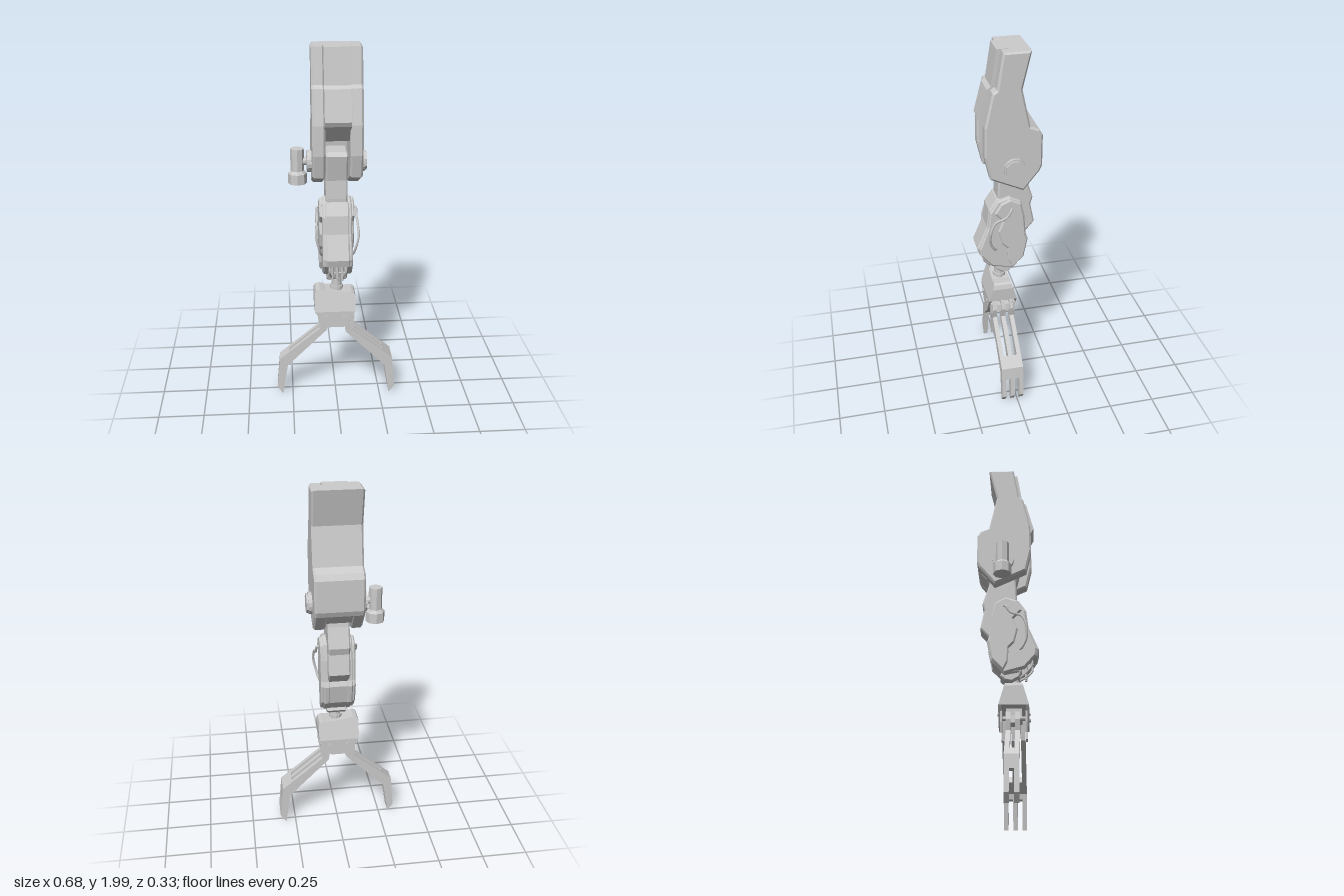
import * as THREE from 'three';

const grey = new THREE.MeshStandardMaterial({ color: 0xcccccc, flatShading: true });
const smooth = new THREE.MeshStandardMaterial({ color: 0xcccccc });

export function createModel() {
  const model = new THREE.Group();

  function add(parent, name, geometry, material = grey) {
    const mesh = new THREE.Mesh(geometry, material);
    mesh.name = name;
    parent.add(mesh);
    return mesh;
  }
  function group(name) {
    const g = new THREE.Group();
    g.name = name;
    model.add(g);
    return g;
  }
  // Prism of an [x, y] outline between two depths, with chamfered rims
  function prismZ(points, z0, z1, bevel = 0) {
    const shape = new THREE.Shape(points.map(([x, y]) => new THREE.Vector2(x, y)));
    return new THREE.ExtrudeGeometry(shape, {
      depth: z1 - z0 - 2 * bevel, bevelEnabled: bevel > 0, bevelThickness: bevel,
      bevelSize: bevel, bevelOffset: -bevel, bevelSegments: 1,
    }).translate(0, 0, z0 + bevel);
  }
  // Prism of a [z, y] outline between two x positions
  const prismX = (points, x0, x1, bevel) =>
    prismZ(points.map(([z, y]) => [-z, y]), x0, x1, bevel).rotateY(Math.PI / 2);
  const cylX = (r, x0, x1, y, z, sides = 8) =>
    new THREE.CylinderGeometry(r, r, x1 - x0, sides).rotateY(Math.PI / 8)
      .rotateZ(Math.PI / 2).translate((x0 + x1) / 2, y, z);
  const cylY = (r0, r1, y0, y1, x, z, sides = 8) =>
    new THREE.CylinderGeometry(r1, r0, y1 - y0, sides).translate(x, (y0 + y1) / 2, z);
  const box = (x0, x1, y0, y1, z0, z1) =>
    new THREE.BoxGeometry(x1 - x0, y1 - y0, z1 - z0)
      .translate((x0 + x1) / 2, (y0 + y1) / 2, (z0 + z1) / 2);

  // Upper arm: two cheeks with a slotted core between them
  const upper = group('upperArm');
  const back = [[-0.155, 1.36], [-0.168, 1.39], [-0.168, 1.56], [-0.15, 1.59], [-0.103, 1.61],
    [-0.06, 1.81], [-0.105, 2]];
  const cheek = [[0.037, 2], [0.068, 1.815], [0.09, 1.80], [0.13, 1.62], [0.132, 1.46],
    [0.103, 1.335], [-0.07, 1.255], ...back];
  add(upper, 'rightCheek', prismX(cheek, -0.125, -0.058, 0.01));
  add(upper, 'leftCheek', prismX(cheek, 0.07, 0.137, 0.01));
  add(upper, 'core', prismX([[0.057, 2], [0.086, 1.815], [0.106, 1.80], [0.147, 1.64],
    [0.135, 1.615], [0.06, 1.52], [-0.09, 1.48], [-0.11, 1.305], ...back], -0.062, 0.074));
  // Fills the chamfer gap on the back between cheeks and core
  add(upper, 'backCover', prismX([[0, 2], [0, 1.65], [-0.12, 1.45], [-0.12, 1.33], ...back],
    -0.115, 0.127));

  // Elbow pivot and side motor
  const elbow = group('elbow');
  add(elbow, 'leftPivotCap', cylX(0.058, 0.13, 0.155, 1.39, -0.022, 16));
  add(elbow, 'leftPivotRim', cylX(0.052, 0.15, 0.166, 1.39, -0.022));
  add(elbow, 'rightPivotCap', cylX(0.058, -0.15, -0.12, 1.39, -0.022, 16));
  add(elbow, 'motorAxle', cylX(0.02, -0.2, -0.14, 1.39, -0.024));
  add(elbow, 'motorBody', cylY(0.036, 0.036, 1.32, 1.46, -0.2, -0.024));
  add(elbow, 'motorBase', cylY(0.05, 0.05, 1.27, 1.325, -0.2, -0.024));
  add(elbow, 'motorCollar', cylY(0.05, 0.036, 1.325, 1.34, -0.2, -0.024));

  // Forearm
  const forearm = group('forearm');
  add(forearm, 'elbowBeam', prismX([[0.075, 1.44], [0.055, 1.46], [-0.06, 1.46], [-0.09, 1.38],
    [-0.105, 1.28], [-0.14, 1.17], [-0.128, 1.13], [-0.15, 1.02], [-0.09, 0.95], [0.04, 0.95],
    [0.05, 1.2], [0.045, 1.3]], -0.053, 0.063, 0.008));
  add(forearm, 'body', prismX([[0.06, 1.18], [0.1, 1.12], [0.112, 1.02], [0.166, 0.89],
    [0.155, 0.85], [0.08, 0.85], [0.06, 0.76], [-0.02, 0.745], [-0.085, 0.82], [-0.108, 0.93],
    [-0.09, 0.97], [-0.06, 1.16], [-0.01, 1.19]], -0.06, 0.07, 0.008));
  const sideShell = [[0.055, 1.175], [0.096, 1.11], [0.107, 1.02], [0.155, 0.89], [0.15, 0.85],
    [0.09, 0.78], [-0.02, 0.75], [-0.09, 0.82], [-0.112, 0.93], [-0.1, 0.96], [-0.09, 1.08],
    [-0.07, 1.165], [-0.01, 1.197]];
  const raisedPlate = [[0.04, 1.165], [0.075, 1.11], [0.03, 1.06], [0.055, 1.0], [0.035, 0.92],
    [0.005, 0.89], [0, 0.81], [-0.025, 0.76], [-0.085, 0.825], [-0.106, 0.93], [-0.095, 0.96],
    [-0.085, 1.08], [-0.068, 1.158], [-0.01, 1.188]];
  for (const [side, s] of [['left', 1], ['right', -1]]) {
    const slab = (pts, a, b, bevel) => {
      const x = [0.005 + s * a, 0.005 + s * b].sort((p, q) => p - q);
      return prismX(pts, x[0], x[1], bevel);
    };
    add(forearm, side + 'Shell', slab(sideShell, 0.045, 0.08, 0.008));
    add(forearm, side + 'RaisedPlate', slab(raisedPlate, 0.07, 0.094, 0.007));
    const cable = new THREE.CatmullRomCurve3([[0.085, 1.135, -0.02], [0.105, 1.13, -0.012],
      [0.108, 1.09, 0.015], [0.11, 1.065, 0.075], [0.114, 1.01, 0.1], [0.1, 0.94, 0.1],
      [0.085, 0.89, 0.075], [0.072, 0.88, 0.06]]
      .map(([x, y, z]) => new THREE.Vector3(0.005 + s * x, y, z)));
    add(forearm, side + 'Cable', new THREE.TubeGeometry(cable, 32, 0.007, 6), smooth);
    const hose = new THREE.CatmullRomCurve3([[0.04, 0.86, 0.12], [0.045, 0.81, 0.13],
      [0.035, 0.77, 0.1], [0.02, 0.74, 0.06]]
      .map(([x, y, z]) => new THREE.Vector3(0.005 + s * x, y, z)));
    add(forearm, side + 'WristHose', new THREE.TubeGeometry(hose, 14, 0.006, 6), smooth);
  }
  for (const x of [-0.022, 0.005, 0.032]) {
    add(forearm, 'piston', cylY(0.006, 0.01, 0.74, 0.87, x, 0.095));
  }

  // Wrist
  const wrist = group('wrist');
  add(wrist, 'wristBlock', prismX([[0.075, 0.775], [0.06, 0.735], [0.02, 0.712], [-0.015, 0.72],
    [-0.042, 0.745], [-0.02, 0.78]], -0.05, 0.06, 0.006));
  add(wrist, 'neck', cylY(0.028, 0.028, 0.66, 0.73, 0.005, 0.033, 12));
  add(wrist, 'neckRing', cylY(0.036, 0.036, 0.672, 0.69, 0.005, 0.033, 12));

  // Palm: tapered housing over two flat plates
  const hand = group('hand');
  const mid = 0.032;
  const housing = prismZ([[-0.12, 0.555], [-0.12, 0.66], [-0.112, 0.677], [-0.09, 0.682],
    [-0.06, 0.672], [0.04, 0.66], [0.085, 0.662], [0.1, 0.655], [0.108, 0.63], [0.105, 0.555]],
  -1, 1);
  const p = housing.attributes.position;
  for (let i = 0; i < p.count; i++) {
    const half = THREE.MathUtils.mapLinear(p.getY(i), 0.555, 0.682, 0.079, 0.043);
    p.setZ(i, mid + p.getZ(i) * half);
  }
  housing.computeVertexNormals();
  add(hand, 'palmHousing', housing);
  const plate = [[-0.12, 0.556], [-0.052, 0.46], [0.04, 0.46], [0.105, 0.556]];
  for (const [name, s] of [['front', 1], ['back', -1]]) {
    const z = [mid + s * 0.064, mid + s * 0.079].sort((a, b) => a - b);
    add(hand, name + 'PalmPlate', prismZ(plate, z[0], z[1]));
    for (const x of [-0.055, 0.045]) {
      add(hand, name + 'Bolt', new THREE.CylinderGeometry(0.01, 0.01, 0.01, 10)
        .rotateX(Math.PI / 2).translate(x, 0.525, mid + s * 0.08));
    }
  }
  add(hand, 'knuckleBlock', box(-0.06, 0.05, 0.5, 0.565, -0.01, 0.074));

  // Claws: three tines on the left interlock with two on the right
  const tine = [[0.035, 0.53], [0.085, 0.53], [0.1, 0.485], [0.088, 0.43], [0.32, 0.237],
    [0.338, 0.05], [0.306, 0.006], [0.276, 0.193], [0.052, 0.418], [0.045, 0.46]];
  const elbowWeb = [[0.265, 0.283], [0.32, 0.237], [0.327, 0.165], [0.281, 0.165],
    [0.276, 0.193], [0.226, 0.243]];
  const rootWeb = [[0.04, 0.51], [0.085, 0.51], [0.09, 0.47], [0.05, 0.46]];
  function claw(name, s, starts, width) {
    const g = group(name);
    const flip = (pts) => pts.map(([x, y]) => [s * x, y]);
    starts.forEach((z, i) => {
      add(g, 'tine', prismZ(flip(tine), z, z + width));
      if (i + 1 < starts.length) {
        add(g, 'elbowWeb', prismZ(flip(elbowWeb), z + width, starts[i + 1]));
        add(g, 'rootWeb', prismZ(flip(rootWeb), z + width, starts[i + 1]));
      }
    });
    // Hinge pin and outer link
    add(g, 'hingePin', new THREE.CylinderGeometry(0.012, 0.012, 0.14, 10)
      .rotateX(Math.PI / 2).translate(s * 0.06, 0.5, mid));
    for (const z of [-0.037, 0.091]) {
      add(g, 'link', prismZ(flip([[0.075, 0.54], [0.1, 0.53], [0.098, 0.47], [0.085, 0.42],
        [0.065, 0.43], [0.07, 0.47]]), z, z + 0.01));
    }
  }
  claw('leftClaw', 1, [-0.033, 0.016, 0.065], 0.024);
  claw('rightClaw', -1, [-0.01, 0.039], 0.025);

  return model;
}
